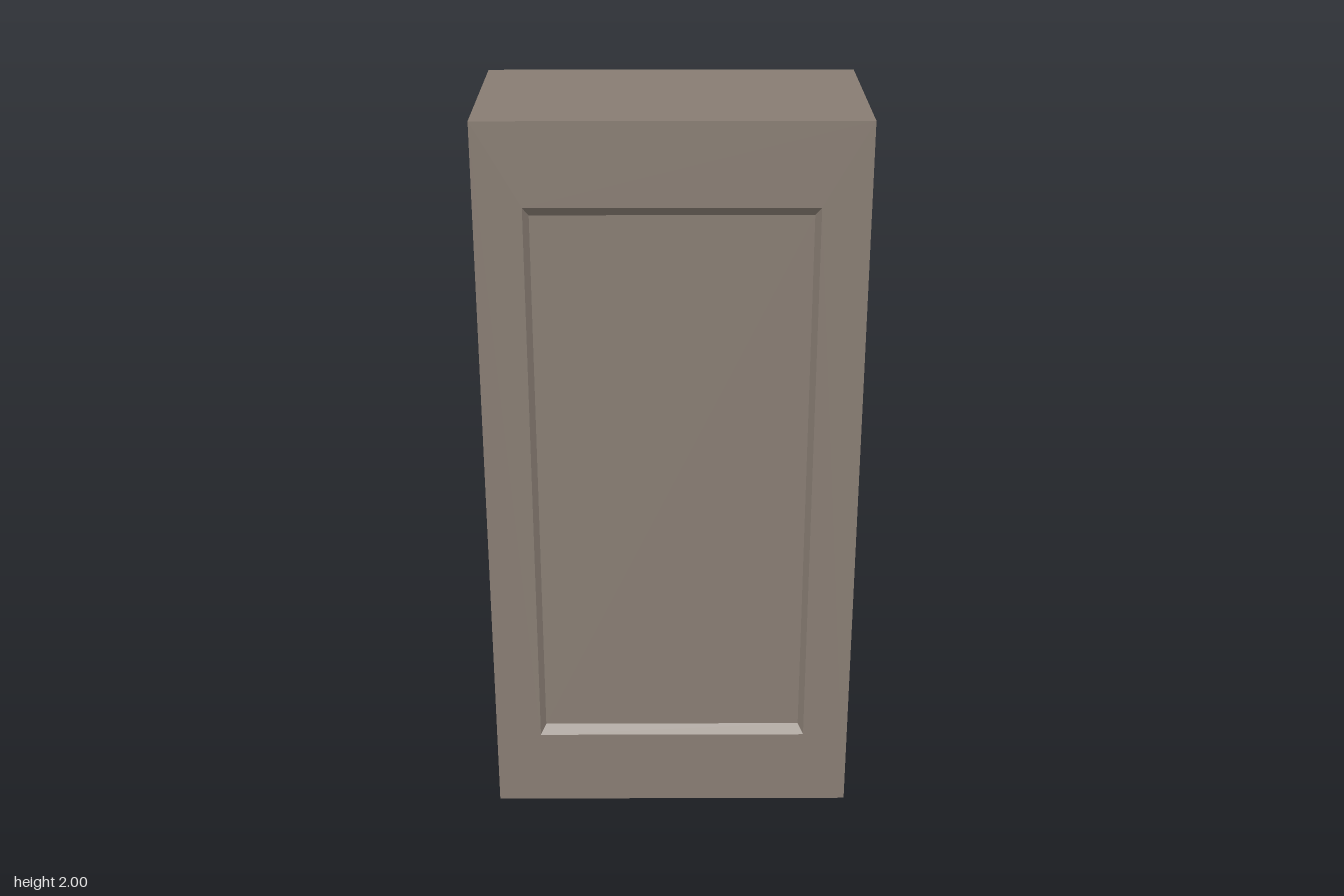
import * as THREE from 'three';

const material = new THREE.MeshStandardMaterial({ color: 0x887d73, flatShading: true });

// Rectangular cross-section, counter-clockwise as seen from the front
function ring(halfW, y0, y1, z) {
  return [[-halfW, y0, z], [halfW, y0, z], [halfW, y1, z], [-halfW, y1, z]];
}

// Skin a run of rectangles, optionally closing the first and last
function loft(name, rings, capStart, capEnd) {
  const pos = [];
  const quad = (a, b, c, d) => pos.push(...a, ...b, ...c, ...a, ...c, ...d);
  for (let r = 0; r < rings.length - 1; r++) {
    const p = rings[r], q = rings[r + 1];
    for (let i = 0; i < 4; i++) {
      const j = (i + 1) % 4;
      quad(p[i], p[j], q[j], q[i]);
    }
  }
  const first = rings[0], last = rings[rings.length - 1];
  if (capStart) quad(first[3], first[2], first[1], first[0]);
  if (capEnd) quad(...last);
  const geometry = new THREE.BufferGeometry();
  geometry.setAttribute('position', new THREE.Float32BufferAttribute(pos, 3));
  geometry.computeVertexNormals();
  const mesh = new THREE.Mesh(geometry, material);
  mesh.name = name;
  return mesh;
}

export function createModel() {
  const group = new THREE.Group();
  group.name = 'wallCabinet';
  const depth = 0.286, recess = 0.018;

  const back = ring(0.5, 0, 2, -depth);
  const front = ring(0.5, 0, 2, depth);
  const opening = ring(0.375, 0.22, 1.78, depth);
  const panel = ring(0.36, 0.246, 1.756, depth - recess);

  // Cabinet box, closed at the back
  group.add(loft('cabinetBody', [back, front], true, false));
  // Flat door frame around the opening
  group.add(loft('doorFrame', [front, opening], false, false));
  // Sloped moulding and sunken panel
  group.add(loft('doorPanel', [opening, panel], false, true));
  return group;
}
